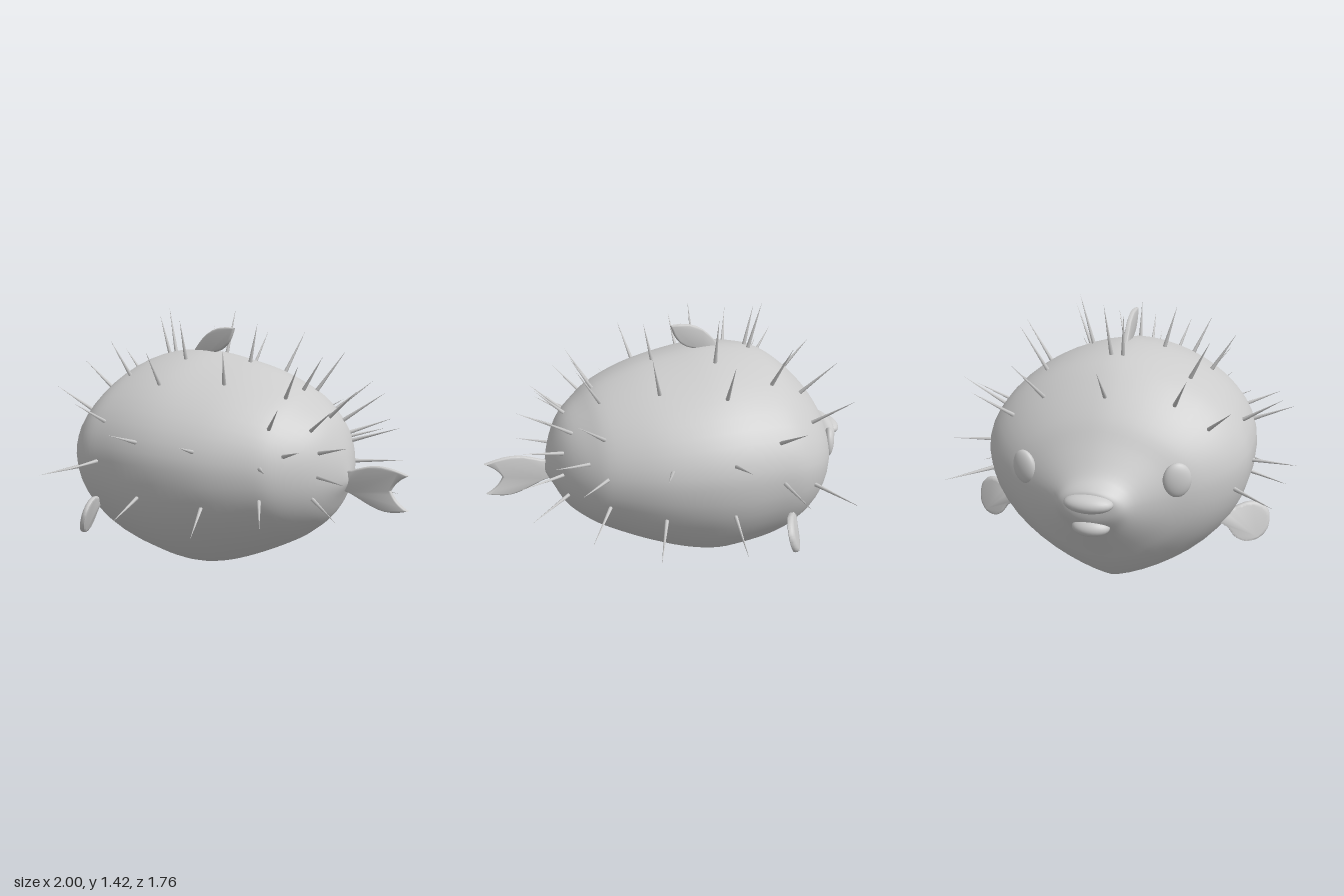
import * as THREE from 'three';
import { mergeVertices, mergeGeometries, toCreasedNormals } from 'three/addons/utils/BufferGeometryUtils.js';
import { ParametricGeometry } from 'three/addons/geometries/ParametricGeometry.js';

const V = (x, y, z) => new THREE.Vector3(x, y, z);
const material = new THREE.MeshStandardMaterial({ color: 0xcccccc });

// Body stations from mouth to tail: x, top, bottom, height of widest point, half width
const stations = [
  [-0.95, 0.66, 0.62, 0.64, 0], [-0.945, 0.695, 0.575, 0.64, 0.09], [-0.925, 0.715, 0.53, 0.63, 0.14],
  [-0.87, 0.755, 0.45, 0.62, 0.19], [-0.79, 0.86, 0.335, 0.63, 0.32], [-0.72, 0.96, 0.235, 0.65, 0.45],
  [-0.62, 1.06, 0.13, 0.67, 0.56], [-0.5, 1.145, 0.055, 0.69, 0.63], [-0.36, 1.185, 0.015, 0.7, 0.65],
  [-0.18, 1.195, 0, 0.7, 0.655], [0, 1.17, 0.045, 0.7, 0.63], [0.2, 1.125, 0.135, 0.69, 0.565],
  [0.39, 1.05, 0.24, 0.68, 0.46], [0.49, 0.98, 0.31, 0.66, 0.38], [0.59, 0.89, 0.405, 0.65, 0.25],
  [0.655, 0.76, 0.53, 0.63, 0.12], [0.69, 0.62, 0.6, 0.61, 0],
];

// Smooth section at u in 0..1
function section(u) {
  const n = stations.length - 1;
  const f = Math.min(Math.max(u, 0), 1) * n;
  const i = Math.min(Math.floor(f), n - 1), t = f - i;
  const at = (k) => stations[Math.min(Math.max(k, 0), n)];
  return stations[0].map((_, c) => {
    const a = at(i - 1)[c], b = at(i)[c], d = at(i + 1)[c], e = at(i + 2)[c];
    return b + 0.5 * t * (d - a + t * (2 * a - 5 * b + 4 * d - e + t * (3 * (b - d) + e - a)));
  });
}

// Egg-shaped cross-section, narrower below
function bodyPoint(u, angle, target = V(0, 0, 0)) {
  const [x, top, bottom, mid, w] = section(u);
  const s = Math.sin(angle), c = Math.cos(angle);
  const power = 1 + (s > 0 ? 0.2 : 0.5) * Math.min(1, Math.abs(w) / 0.6);
  const z = Math.sign(c) * Math.pow(Math.abs(c), power) * Math.max(0, w);
  return target.set(x, mid + s * (s > 0 ? top - mid : mid - bottom), z);
}

function smooth(geometry) {
  geometry.deleteAttribute('normal');
  geometry.deleteAttribute('uv');
  const merged = mergeVertices(geometry, 1e-4);
  merged.computeVertexNormals();
  return merged;
}

// Point and outward normal on the flank (side = 1 or -1) at a given x and height
function onBody(x, y, side) {
  let lo = 0, hi = 1;
  for (let i = 0; i < 30; i++) {
    const m = (lo + hi) / 2;
    if (section(m)[0] < x) lo = m; else hi = m;
  }
  const [, top, bottom, mid] = section(lo);
  const s = (y - mid) / (y > mid ? top - mid : mid - bottom);
  let angle = Math.asin(Math.min(1, Math.max(-1, s)));
  if (side < 0) angle = Math.PI - angle;
  const e = 0.004;
  const du = bodyPoint(lo + e, angle).sub(bodyPoint(lo - e, angle));
  const da = bodyPoint(lo, angle + e).sub(bodyPoint(lo, angle - e));
  return { point: bodyPoint(lo, angle), normal: du.cross(da).normalize() };
}

// Thin rounded plate from an outline, centred on its thickness
function plate(shape, thickness) {
  const b = thickness * 0.35;
  const geometry = new THREE.ExtrudeGeometry(shape, {
    depth: thickness - 2 * b, bevelThickness: b, bevelSize: b, bevelOffset: -b, bevelSegments: 2, curveSegments: 8,
  });
  geometry.translate(0, 0, -thickness / 2 + b);
  return geometry;
}

export function createModel() {
  const model = new THREE.Group();
  model.name = 'pufferfish';
  const fish = new THREE.Group();
  fish.name = 'fish';
  fish.position.z = 0.045;
  model.add(fish);
  const add = (name, geometry) => {
    const mesh = new THREE.Mesh(geometry, material);
    mesh.name = name;
    fish.add(mesh);
    return mesh;
  };

  // Body
  add('body', smooth(new ParametricGeometry((u, v, p) => bodyPoint(u, v * Math.PI * 2, p), 64, 48)));

  // Lips
  for (const [name, x, y, rx, ry, rz] of [
    ['upperLip', -0.94, 0.65, 0.06, 0.042, 0.11],
    ['lowerLip', -0.91, 0.525, 0.053, 0.042, 0.085],
  ]) {
    const lip = add(name, new THREE.SphereGeometry(1, 24, 16));
    lip.position.set(x, y, 0);
    lip.scale.set(rx, ry, rz);
  }

  // Eyes
  for (const side of [1, -1]) {
    const { point, normal } = onBody(-0.765, 0.715, side);
    const eye = add(side > 0 ? 'leftEye' : 'rightEye', new THREE.SphereGeometry(1, 24, 16));
    eye.position.copy(point);
    eye.quaternion.setFromUnitVectors(V(0, 0, 1), normal.setY(0).normalize());
    eye.scale.set(0.065, 0.08, 0.03);
  }

  // Tail fin
  const tail = new THREE.Shape();
  tail.moveTo(0.64, 0.655);
  tail.lineTo(0.7, 0.665);
  tail.bezierCurveTo(0.78, 0.695, 0.84, 0.73, 0.99, 0.68);
  tail.quadraticCurveTo(0.93, 0.65, 0.905, 0.595);
  tail.quadraticCurveTo(0.93, 0.54, 0.995, 0.51);
  tail.bezierCurveTo(0.86, 0.46, 0.82, 0.5, 0.7, 0.545);
  tail.lineTo(0.64, 0.56);
  add('tailFin', toCreasedNormals(plate(tail, 0.024), 0.8));

  // Dorsal fin
  const dorsal = new THREE.Shape();
  dorsal.moveTo(-0.28, 1.17);
  dorsal.bezierCurveTo(-0.22, 1.25, -0.16, 1.34, 0, 1.32);
  dorsal.bezierCurveTo(-0.02, 1.25, -0.05, 1.2, -0.14, 1.185);
  dorsal.lineTo(-0.18, 1.16);
  add('dorsalFin', toCreasedNormals(plate(dorsal, 0.024), 0.8));

  // Pectoral fins: paddles swept back
  const paddle = new THREE.Shape();
  paddle.moveTo(0.49, 0.45);
  paddle.splineThru([[0.57, 0.47], [0.64, 0.488], [0.7, 0.475], [0.74, 0.43], [0.74, 0.36], [0.7, 0.315],
    [0.64, 0.308], [0.59, 0.335], [0.55, 0.385], [0.49, 0.42]].map(([a, b]) => new THREE.Vector2(a, b)));
  for (const side of [1, -1]) {
    const geometry = plate(paddle, 0.036);
    const p = geometry.attributes.position;
    for (let i = 0; i < p.count; i++) {
      const out = p.getX(i), y = p.getY(i), d = p.getZ(i);
      p.setXYZ(i, -0.52 + (out - 0.5) * 0.5 + (y - 0.4) * 0.3 - d * side, y, out * side);
    }
    add(side > 0 ? 'leftPectoralFin' : 'rightPectoralFin', toCreasedNormals(geometry, 0.9));
  }

  // Spines: x and height on each flank, then along the back
  const flank = [
    [-0.58, 0.615], [-0.6, 0.9], [-0.6, 1.0], [-0.38, 0.685], [-0.37, 0.88], [-0.42, 1.08], [-0.42, 1.172],
    [-0.14, 0.53], [-0.13, 0.81], [-0.16, 1.06], [-0.18, 1.165], [0.18, 0.51], [0.16, 0.79], [0.14, 1.07],
    [0.43, 0.56], [0.44, 0.72], [0.43, 0.89], [0.41, 1.01], [0.51, 0.77], [0.56, 0.87],
    [0.6, 0.55], [0.62, 0.66], [0.61, 0.77],
  ];
  const spines = [];
  const addSpine = (x, y, side, length) => {
    const { point, normal } = onBody(x, y, side);
    const cone = new THREE.ConeGeometry(0.011, length, 6);
    cone.translate(0, length / 2 - 0.02, 0);
    cone.applyQuaternion(new THREE.Quaternion().setFromUnitVectors(V(0, 1, 0), normal));
    cone.translate(point.x, point.y, point.z);
    spines.push(cone);
  };
  for (const [x, y] of flank) {
    addSpine(x, y, 1, 0.23);
    addSpine(x, y, -1, 0.27);
  }
  for (const x of [-0.65, 0.1, 0.42, 0.57]) addSpine(x, 2, 1, 0.22);
  add('spines', mergeGeometries(spines));

  return model;
}
